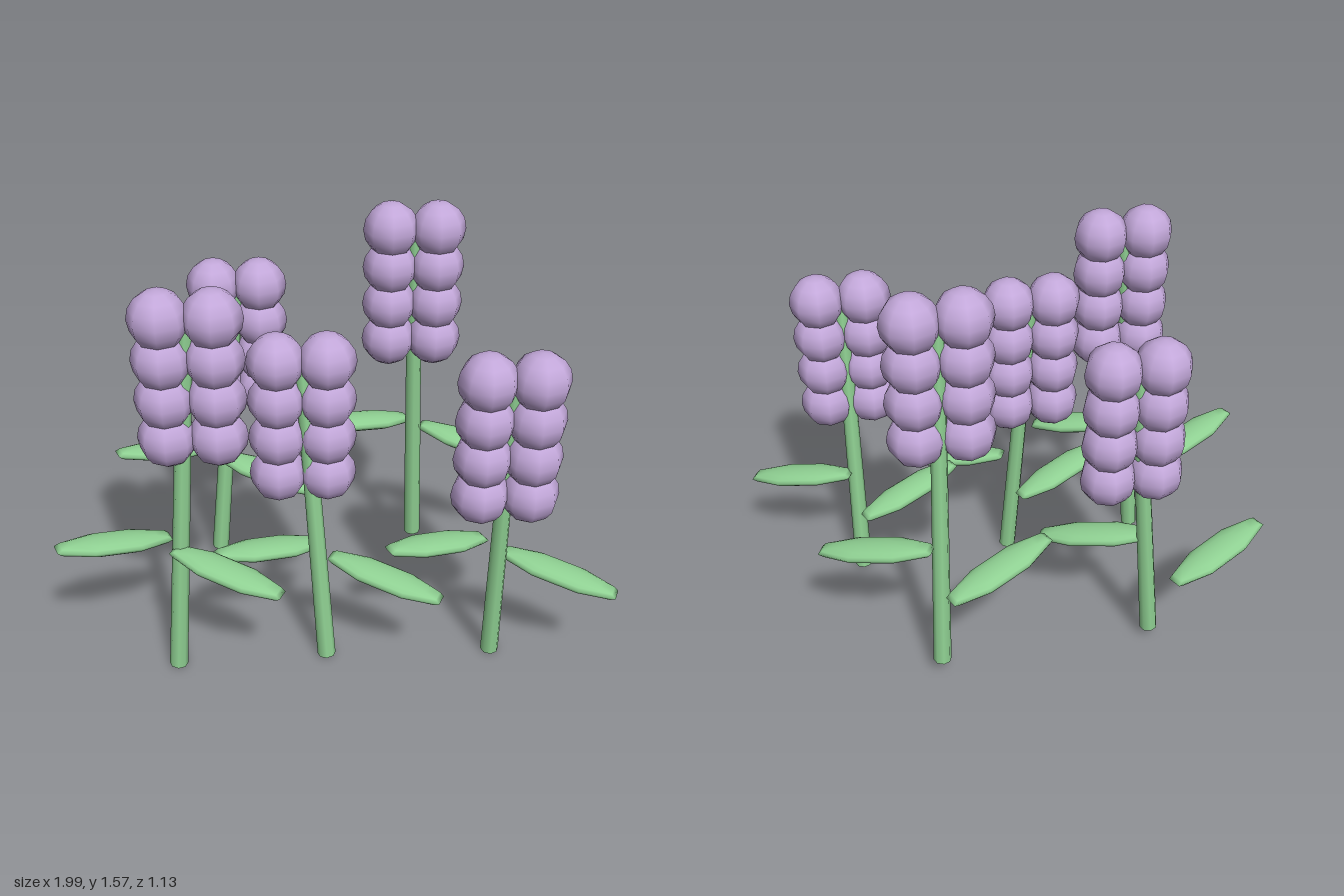
import * as THREE from 'three';

const green = new THREE.MeshStandardMaterial({ color: 0x8fd092 });
const purple = new THREE.MeshStandardMaterial({ color: 0xc3a8da });

const budGeometry = new THREE.SphereGeometry(0.102, 8, 8);
const leafGeometry = new THREE.SphereGeometry(1, 8, 8).rotateY(Math.PI / 8).scale(0.232, 0.032, 0.067);

// base: foot of the stem, top: centre between the two highest buds, leafY: height of the leaves
const plants = [
  { base: [-0.59, 0, 0.36], top: [-0.48, 1.4, 0.33], leafY: 0.49 },
  { base: [-0.46, 0.04, -0.325], top: [-0.345, 1.23, -0.33], leafY: 0.46 },
  { base: [-0.035, 0, 0.328], top: [-0.113, 1.2, 0.25], leafY: 0.425 },
  { base: [0.357, 0.07, -0.36], top: [0.31, 1.46, -0.275], leafY: 0.56 },
  { base: [0.585, 0, 0.325], top: [0.57, 1.2, 0.42], leafY: 0.425 },
];

function addMesh(parent, name, geometry, material) {
  const mesh = new THREE.Mesh(geometry, material);
  mesh.name = name;
  parent.add(mesh);
  return mesh;
}

function createPlant({ base, top, leafY }) {
  const plant = new THREE.Group();
  plant.name = 'flower';

  // Leaning, slightly tapered stem
  const a = new THREE.Vector3(...base);
  const b = new THREE.Vector3(...top);
  const axis = b.clone().sub(a);
  const stem = addMesh(plant, 'stem', new THREE.CylinderGeometry(0.026, 0.034, axis.length(), 8), green);
  stem.position.copy(a).add(b).multiplyScalar(0.5);
  stem.quaternion.setFromUnitVectors(new THREE.Vector3(0, 1, 0), axis.normalize());

  // Two columns of four buds
  for (const side of [-1, 1]) {
    for (let i = 0; i < 4; i++) {
      const bud = addMesh(plant, 'bud', budGeometry, purple);
      bud.position.set(top[0] + side * 0.085, top[1] - i * 0.144, top[2]);
    }
  }

  // A pair of leaves, both dipping towards +x
  for (const side of [-1, 1]) {
    const leaf = addMesh(plant, side < 0 ? 'rightLeaf' : 'leftLeaf', leafGeometry, green);
    leaf.position.set(base[0] + side * 0.205, leafY, base[2] + side * 0.095);
    leaf.rotation.set(0, -side * 0.43, -0.18);
  }
  return plant;
}

export function createModel() {
  const model = new THREE.Group();
  model.name = 'flowerCluster';
  for (const plant of plants) model.add(createPlant(plant));
  return model;
}
